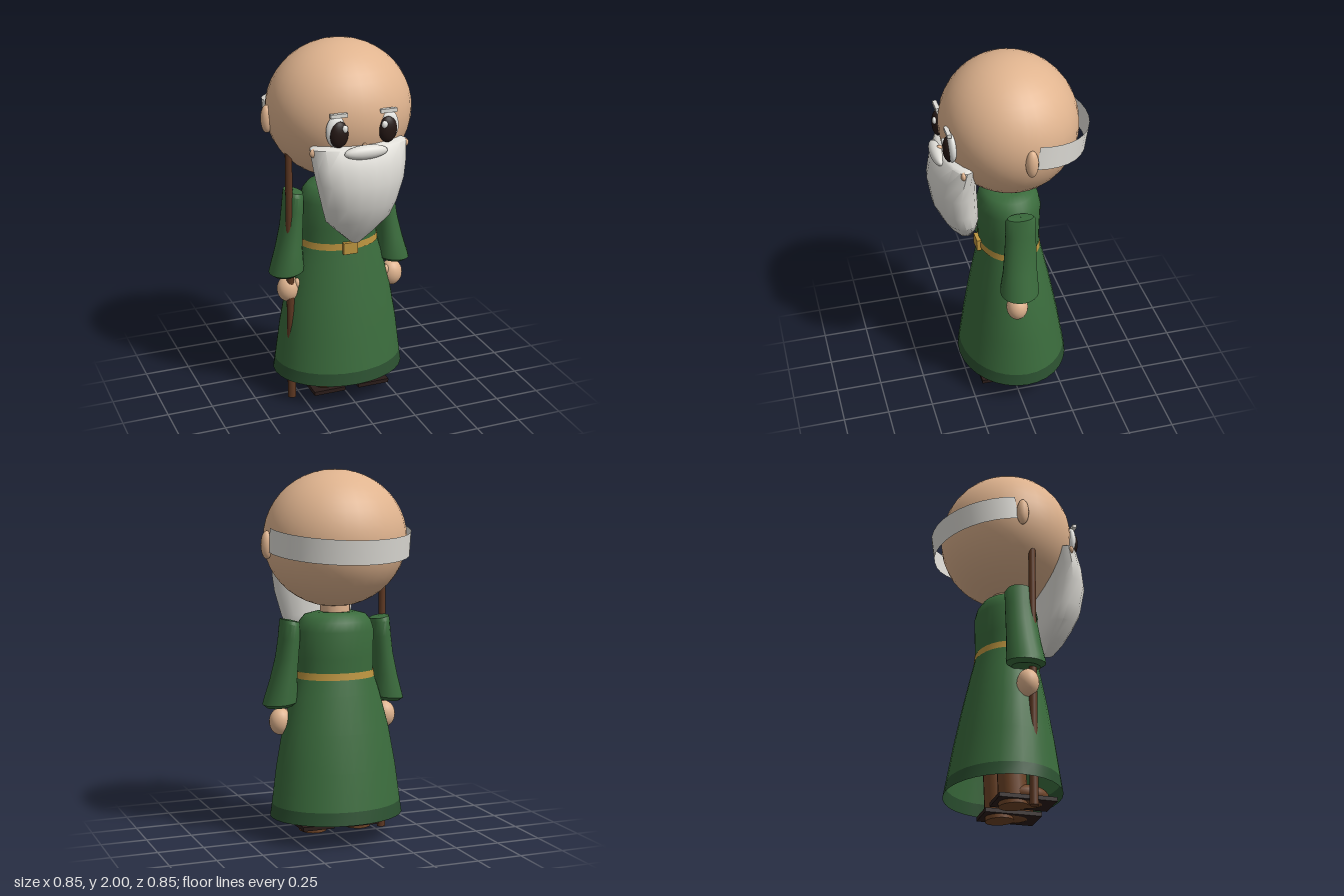
import * as THREE from 'three';
import { toCreasedNormals } from 'three/addons/utils/BufferGeometryUtils.js';

const mat = (name, color, side = THREE.FrontSide) => {
  const m = new THREE.MeshStandardMaterial({ color, side });
  m.name = name;
  return m;
};

// Skin of elliptical rings from bottom to top: [y, rx, rz, cx, cz, slope in x]
function loft(rings, n = 24, crease = 0.7) {
  const pos = [], idx = [];
  for (const [y, rx, rz, cx = 0, cz = 0, slope = 0] of rings) {
    for (let j = 0; j < n; j++) {
      const a = (j / n) * Math.PI * 2, dx = rx * Math.cos(a);
      pos.push(cx + dx, y + slope * dx, cz + rz * Math.sin(a));
    }
  }
  for (let i = 0; i < rings.length - 1; i++) {
    for (let j = 0; j < n; j++) {
      const a = i * n + j, b = i * n + (j + 1) % n;
      idx.push(a, a + n, b, b, a + n, b + n);
    }
  }
  const g = new THREE.BufferGeometry();
  g.setAttribute('position', new THREE.Float32BufferAttribute(pos, 3));
  g.setIndex(idx);
  return toCreasedNormals(g, crease);
}

export function createModel() {
  const model = new THREE.Group();
  model.name = 'beardedElder';

  const skin = mat('skin', 0xe0b48f);
  const green = mat('robe green', 0x3a6b3c, THREE.DoubleSide);
  const darkGreen = mat('hem green', 0x2b5030, THREE.DoubleSide);
  const hair = mat('white hair', 0xe0ded8, THREE.DoubleSide);
  const white = mat('eye white', 0xf6f6f2);
  const black = mat('eye dark', 0x241714);
  const gold = mat('belt gold', 0xbc943f, THREE.DoubleSide);
  const brown = mat('leg brown', 0x6e4427);
  const wood = mat('staff wood', 0x5e3822);
  const sole = mat('sandal dark', 0x2a1c19);

  const add = (name, geo, material, x = 0, y = 0, z = 0) => {
    const m = new THREE.Mesh(geo, material);
    m.name = name;
    m.position.set(x, y, z);
    model.add(m);
    return m;
  };
  const ball = (name, material, x, y, z, rx, ry, rz, n = 20) => {
    const m = add(name, new THREE.SphereGeometry(1, n, Math.round(n * 0.7)), material, x, y, z);
    m.scale.set(rx, ry, rz);
    return m;
  };

  // Head and neck
  ball('head', skin, 0, 1.633, -0.008, 0.39, 0.367, 0.364, 32);
  add('neck', new THREE.CylinderGeometry(0.08, 0.08, 0.16, 20), skin, 0, 1.24, -0.008);
  ball('nose', skin, 0, 1.53, 0.358, 0.013, 0.013, 0.016, 12);

  // Band of hair round the back of the head
  const bandGeo = new THREE.CylinderGeometry(1, 1, 0.13, 18, 1, true, Math.PI / 2, Math.PI);
  bandGeo.scale(0.388, 1, 0.362);
  add('hairBand', bandGeo, hair, 0, 1.63, -0.06).rotation.x = -0.15;

  // Beard and moustache
  add('beard', loft([
    [0.957, 0.002, 0.002, 0, 0.23],
    [0.962, 0.025, 0.032, 0, 0.228],
    [1.03, 0.098, 0.072, 0, 0.243],
    [1.11, 0.178, 0.098, 0, 0.264],
    [1.2, 0.206, 0.118, 0, 0.287],
    [1.33, 0.24, 0.124, 0, 0.302],
    [1.42, 0.256, 0.115, 0, 0.293],
    [1.515, 0.266, 0.1, 0, 0.272],
    [1.525, 0.25, 0.085, 0, 0.272],
    [1.53, 0.002, 0.002, 0, 0.272],
  ], 18), hair);
  ball('moustache', hair, 0, 1.5, 0.375, 0.118, 0.037, 0.035);

  // Robe: skirt, hem and upper body
  add('hem', loft([
    [0.13, 0.37, 0.306, 0, -0.025],
    [0.2, 0.36, 0.295, 0, -0.024],
  ], 32), darkGreen);
  add('skirt', loft([
    [0.2, 0.36, 0.295, 0, -0.024],
    [0.4, 0.335, 0.262, 0, -0.021],
    [0.6, 0.3, 0.224, 0, -0.018],
    [0.8, 0.247, 0.183, 0, -0.014],
    [0.91, 0.212, 0.16, 0, -0.01],
  ], 32), green);
  add('upperBody', loft([
    [0.91, 0.212, 0.164, 0, -0.008],
    [1.0, 0.213, 0.166, 0, -0.008],
    [1.14, 0.215, 0.17, 0, -0.008],
    [1.19, 0.2, 0.158, 0, -0.008],
    [1.225, 0.17, 0.135, 0, -0.008],
    [1.24, 0.11, 0.095, 0, -0.008],
    [1.24, 0.002, 0.002, 0, -0.008],
  ], 32), green);

  // Belt and buckle
  add('belt', loft([
    [0.885, 0.221, 0.17, 0, -0.009],
    [0.922, 0.216, 0.167, 0, -0.008],
  ], 32), gold);
  add('buckle', new THREE.BoxGeometry(0.08, 0.065, 0.03), gold, 0, 0.897, 0.162);

  for (const s of [1, -1]) {
    const side = s > 0 ? 'left' : 'right';

    // Face details
    ball(side + 'Ear', skin, s * 0.392, 1.605, -0.027, 0.032, 0.075, 0.033, 14);
    ball(side + 'Cheek', skin, s * 0.25, 1.497, 0.29, 0.023, 0.023, 0.014, 12);
    ball(side + 'EyeWhite', white, s * 0.142, 1.61, 0.325, 0.056, 0.083, 0.027);
    ball(side + 'Pupil', black, s * 0.133, 1.597, 0.338, 0.05, 0.07, 0.03);
    ball(side + 'EyeGlint', white, s * 0.108, 1.628, 0.358, 0.017, 0.02, 0.012, 12);
    add(side + 'Eyebrow', new THREE.BoxGeometry(0.09, 0.02, 0.022), hair, s * 0.135, 1.696, 0.341);

    // Sleeve, flaring towards the wrist
    add(side + 'Sleeve', loft([
      [0.745, s * 0.002, 0.002, s * 0.31, 0.01],
      [0.735, 0.07, 0.075, s * 0.312, 0.01, -0.1 * s],
      [0.755, 0.095, 0.104, s * 0.31, 0.01, -0.1 * s],
      [0.78, 0.092, 0.104, s * 0.306, 0.01, -0.08 * s],
      [0.88, 0.072, 0.093, s * 0.293, 0.004],
      [1.0, 0.06, 0.086, s * 0.275, -0.002, 0.05 * s],
      [1.1, 0.056, 0.083, s * 0.265, -0.006, 0.12 * s],
      [1.18, 0.052, 0.084, s * 0.26, -0.006, 0.2 * s],
      [1.2, 0.05, 0.07, s * 0.26, -0.006, 0.2 * s],
      [1.204, 0.002, 0.002, s * 0.26, -0.006],
    ], 20), green);

    // Hand and thumb
    ball(side + 'Hand', skin, s * 0.305, 0.65, 0.022, 0.062, 0.074, 0.058);
    ball(side + 'Thumb', skin, s * 0.26, 0.68, 0.045, 0.02, 0.032, 0.022, 12);

    // Leg, foot and sandal
    add(side + 'Leg', new THREE.CylinderGeometry(0.07, 0.077, 0.5, 18), brown, s * 0.13, 0.29, -0.02).rotation.x = -0.06;
    ball(side + 'Foot', brown, s * 0.13, 0.1, 0.06, 0.087, 0.058, 0.12);
    add(side + 'Sandal', new THREE.BoxGeometry(0.18, 0.022, 0.305), sole, s * 0.13, 0.07, 0.047);
  }

  // Walking staff
  add('staff', new THREE.CylinderGeometry(0.019, 0.023, 1.48, 12), wood, -0.302, 0.74, 0.05);

  return model;
}
